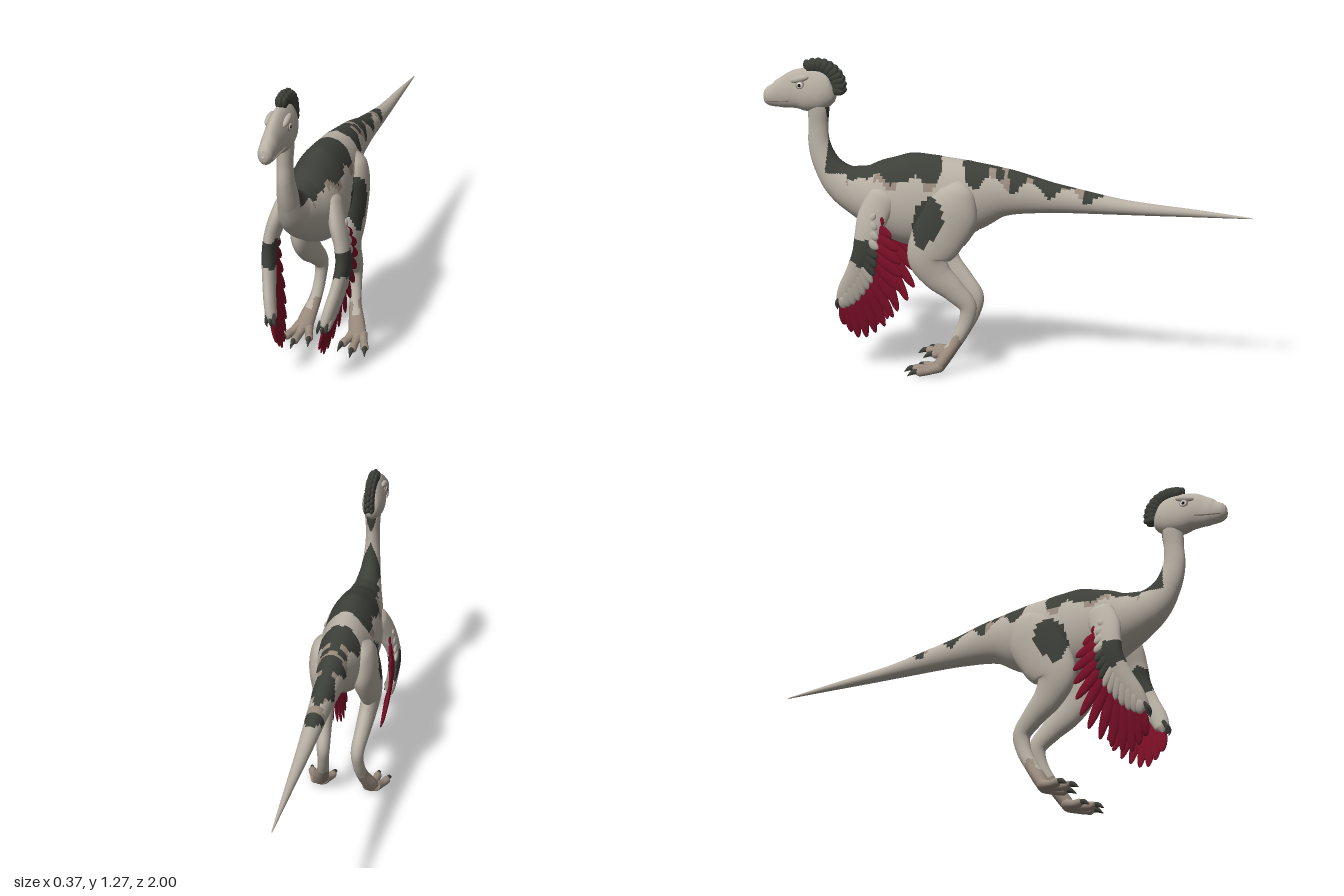
import * as THREE from 'three';

const mat = (name, color, double) => {
  const m = new THREE.MeshStandardMaterial({ color });
  m.name = name;
  if (double) m.side = THREE.DoubleSide;
  return m;
};

export function createModel() {
  const skin = mat('pale skin', 0xb9b1a5);
  const dark = mat('charcoal plumage', 0x3d3f39);
  const taupe = mat('taupe skin', 0x998a7d);
  const red = mat('crimson feather', 0x7c0f27);
  const white = mat('eye white', 0xe8e6e0);
  const black = mat('pupil black', 0x151515);
  const palette = [skin, dark, taupe];

  const model = new THREE.Group();
  model.name = 'featheredDinosaur';
  const add = (parent, name, geometry, material) => {
    const mesh = new THREE.Mesh(geometry, material);
    mesh.name = name;
    parent.add(mesh);
    return mesh;
  };
  const V = (x, y, z) => new THREE.Vector3(x, y, z);

  // Smooth loft through rows of [x, y, z, halfWidth, halfDepth, bottomHeaviness]; paint picks a palette index per quad.
  function loft(rows, steps, sides, paint = () => 0) {
    const path = new THREE.CatmullRomCurve3(rows.map(r => V(r[0], r[1], r[2])));
    const size = new THREE.CatmullRomCurve3(rows.map(r => V(r[3], r[4], r[5] || 0)));
    const pts = [], faces = [[], [], []];
    for (let i = 0; i <= steps; i++) {
      const c = path.getPoint(i / steps), t = path.getTangent(i / steps), s = size.getPoint(i / steps);
      const side = V(1, 0, 0).addScaledVector(t, -t.x).normalize();
      const up = t.clone().cross(side);
      for (let j = 0; j < sides; j++) {
        const a = j / sides * Math.PI * 2;
        pts.push(c.clone()
          .addScaledVector(side, Math.max(s.x, 0.001) * Math.cos(a) * (1 - s.z * Math.sin(a)))
          .addScaledVector(up, Math.max(s.y, 0.001) * Math.sin(a)));
      }
    }
    for (let i = 0; i < steps; i++) for (let j = 0; j < sides; j++) {
      const k = (j + 1) % sides;
      const a = i * sides + j, b = i * sides + k, c = a + sides, d = b + sides;
      const mid = pts[a].clone().add(pts[d]).multiplyScalar(0.5);
      faces[paint(mid)].push(a, b, c, b, d, c);
    }
    const g = new THREE.BufferGeometry().setFromPoints(pts);
    g.setIndex(faces.flat());
    let start = 0;
    faces.forEach((f, i) => { if (f.length) g.addGroup(start, f.length, i); start += f.length; });
    g.computeVertexNormals();
    return g;
  }

  // Plumage patches
  const wobble = p => 0.012 * Math.sin(38 * p.z + 9 * p.y) + 0.008 * Math.sin(83 * p.z + 50 * Math.abs(p.x));
  const flank = p => {
    const dy = (p.y - 0.64) / 0.105, dz = (p.z - 0.295 + 0.2 * (p.y - 0.64)) / (0.055 + wobble(p));
    return Math.abs(p.x) > 0.05 && dy * dy + dz * dz < 1;
  };
  const bodyPaint = p => {
    const w = wobble(p), z = p.z;
    if (flank(p)) return 1;
    if (z > 0.62 && p.y > 0.81) return z < 0.738 + w * 0.6 ? 1 : 0;
    if (z > 0.26 + w && z < 0.64) {
      const edge = 0.803 + w;
      return p.y > edge ? 1 : p.y > edge - 0.025 && Math.sin(z * 30) > 0.1 ? 2 : 0;
    }
    if (z < 0.14 + w && z > -0.46 + w) {
      const edge = 0.795 + 0.13 * z + 0.022 * Math.sin(z * 42) + w * 0.6;
      if (p.y < edge) return 0;
      const gap = Math.abs(z + 0.01 + w) < 0.022 || Math.abs(z + 0.3 + w) < 0.025;
      return gap || (Math.abs(p.x) > 0.02 && Math.sin(z * 42) > 0.8) ? 2 : 1;
    }
    return 0;
  };

  // Tail, trunk and neck in one sweep
  add(model, 'body', loft([
    [0, 0.687, -1, 0.002, 0.002], [0, 0.697, -0.8, 0.013, 0.014], [0, 0.71, -0.5, 0.029, 0.03],
    [0, 0.737, -0.2, 0.046, 0.062], [0, 0.752, 0, 0.066, 0.1], [0, 0.735, 0.12, 0.092, 0.143],
    [0, 0.712, 0.25, 0.11, 0.182, 0.08], [0, 0.708, 0.38, 0.117, 0.192, 0.1],
    [0, 0.718, 0.5, 0.108, 0.155, 0.1], [0, 0.732, 0.59, 0.085, 0.112, 0.05],
    [0, 0.768, 0.675, 0.06, 0.08], [0, 0.835, 0.735, 0.041, 0.057], [0, 0.92, 0.767, 0.032, 0.046],
    [0, 1.0, 0.77, 0.029, 0.041], [0, 1.08, 0.768, 0.033, 0.045], [0, 1.15, 0.775, 0.02, 0.03],
  ], 240, 64, bodyPaint), palette);

  // Head
  const head = new THREE.Group();
  head.name = 'head';
  model.add(head);
  add(head, 'skull', loft([
    [0, 1.155, 0.69, 0.002, 0.002], [0, 1.15, 0.71, 0.03, 0.055, 0.1], [0, 1.147, 0.75, 0.043, 0.083, 0.2],
    [0, 1.146, 0.8, 0.045, 0.09, 0.25], [0, 1.145, 0.85, 0.041, 0.083, 0.2], [0, 1.133, 0.9, 0.034, 0.067, 0.1],
    [0, 1.119, 0.945, 0.031, 0.05], [0, 1.113, 0.98, 0.027, 0.038], [0, 1.112, 0.995, 0.016, 0.024],
    [0, 1.112, 1, 0.002, 0.002],
  ], 60, 40), skin);
  for (const s of [1, -1]) {
    const brow = add(head, 'brow', new THREE.SphereGeometry(1, 20, 12), skin);
    brow.scale.set(0.012, 0.014, 0.04);
    brow.position.set(s * 0.033, 1.192, 0.835);
    brow.rotation.x = 0.25;
    const ring = add(head, 'eyeRim', new THREE.SphereGeometry(0.019, 20, 14), taupe);
    ring.scale.x = 0.4;
    ring.position.set(s * 0.0375, 1.168, 0.832);
    const eye = add(head, 'eye', new THREE.SphereGeometry(0.0135, 20, 14), white);
    eye.scale.x = 0.4;
    eye.position.set(s * 0.0415, 1.168, 0.832);
    const pupil = add(head, 'pupil', new THREE.SphereGeometry(0.007, 16, 12), black);
    pupil.scale.x = 0.4;
    pupil.position.set(s * 0.0455, 1.168, 0.833);
    const lip = new THREE.CatmullRomCurve3([V(s * 0.041, 1.105, 0.875), V(s * 0.0335, 1.1, 0.92),
      V(s * 0.0275, 1.097, 0.965), V(s * 0.014, 1.1, 0.991)]);
    add(head, 'mouthLine', new THREE.TubeGeometry(lip, 16, 0.003, 6), taupe);
  }

  // Flattened feather from root to tip; width lies in the y-z plane, thickness along x
  function feather(parent, name, root, tip, width, thick, material) {
    const dir = tip.clone().sub(root);
    const f = add(parent, name, new THREE.SphereGeometry(1, 12, 10), material);
    f.scale.set(thick, dir.length() / 2, width);
    f.position.copy(root).add(tip).multiplyScalar(0.5);
    const y = dir.normalize(), x = V(1, 0, 0).addScaledVector(y, -y.x).normalize();
    f.quaternion.setFromRotationMatrix(new THREE.Matrix4().makeBasis(x, y, x.clone().cross(y)));
  }

  // Crest: fan of rounded plumes over the crown, in three rows
  const crest = new THREE.Group();
  crest.name = 'crest';
  model.add(crest);
  for (const row of [-1, 0, 1]) for (let i = 0; i < 10; i++) {
    const a = 1.15 + (i + row * row * 0.4) * 0.235, r = row ? 0.94 : 1;
    const at = (ry, rz) => [1.163 + ry * Math.sin(a), 0.775 - rz * Math.cos(a) * -1];
    const [y0, z0] = at(0.055, 0.06), [y1, z1] = at(0.115 * r, 0.122 * r);
    feather(crest, 'crestPlume', V(row * 0.008, y0, z0), V(row * 0.013, y1, z1 - 0.008), 0.019, 0.012, dark);
  }

  // Limbs, mirrored
  const legPaint = p => flank(p) ? 1 : p.y < 0.13 + wobble(p) * 2 ? 2 : 0;
  const armPaint = p => p.y > 0.455 + wobble(p) && p.y < 0.56 + wobble(p) ? 1 : 0;
  for (const s of [1, -1]) {
    const label = s > 0 ? 'left' : 'right';
    const leg = new THREE.Group();
    leg.name = label + 'Leg';
    model.add(leg);
    add(leg, 'legLimb', loft([
      [s * 0.06, 0.82, 0.17, 0.002, 0.002], [s * 0.08, 0.76, 0.175, 0.045, 0.075], [s * 0.088, 0.67, 0.205, 0.055, 0.115],
      [s * 0.098, 0.57, 0.258, 0.048, 0.108], [s * 0.1, 0.49, 0.295, 0.042, 0.083], [s * 0.093, 0.42, 0.262, 0.037, 0.066],
      [s * 0.083, 0.35, 0.19, 0.032, 0.048], [s * 0.074, 0.285, 0.135, 0.028, 0.037], [s * 0.076, 0.22, 0.142, 0.024, 0.03],
      [s * 0.085, 0.14, 0.18, 0.025, 0.026], [s * 0.105, 0.07, 0.225, 0.034, 0.027], [s * 0.115, 0.03, 0.25, 0.036, 0.025],
      [s * 0.117, 0.01, 0.26, 0.004, 0.004],
    ], 110, 36, legPaint), palette);

    // Toes and claws
    for (const [x0, x1, z1] of [[0.095, 0.068, 0.325], [0.116, 0.123, 0.36], [0.135, 0.172, 0.335]]) {
      const dx = x1 - x0;
      add(leg, 'toe', loft([
        [s * x0, 0.045, 0.225, 0.004, 0.004], [s * x0, 0.038, 0.24, 0.02, 0.022],
        [s * (x0 + dx * 0.5), 0.024, (0.24 + z1) / 2, 0.016, 0.017],
        [s * (x0 + dx * 0.85), 0.021, z1 - 0.015, 0.017, 0.018], [s * x1, 0.016, z1, 0.003, 0.003],
      ], 24, 16), taupe);
      add(leg, 'toeClaw', loft([
        [s * (x0 + dx * 0.85), 0.024, z1 - 0.02, 0.011, 0.011], [s * x1, 0.023, z1 + 0.005, 0.009, 0.011],
        [s * (x1 + dx * 0.2), 0.006, z1 + 0.032, 0.001, 0.001],
      ], 12, 12), dark);
    }

    // Arm
    const arm = new THREE.Group();
    arm.name = label + 'Arm';
    model.add(arm);
    add(arm, 'armLimb', loft([
      [s * 0.07, 0.78, 0.46, 0.002, 0.002], [s * 0.092, 0.73, 0.48, 0.03, 0.06], [s * 0.118, 0.655, 0.515, 0.032, 0.062],
      [s * 0.14, 0.58, 0.535, 0.029, 0.052], [s * 0.148, 0.51, 0.548, 0.027, 0.047], [s * 0.138, 0.42, 0.583, 0.025, 0.045],
      [s * 0.12, 0.34, 0.63, 0.023, 0.038], [s * 0.107, 0.29, 0.65, 0.02, 0.03], [s * 0.1, 0.265, 0.655, 0.003, 0.003],
    ], 80, 28, armPaint), palette);
    for (const k of [-1, 0, 1])
      add(arm, 'fingerClaw', loft([
        [s * (0.107 + k * 0.012), 0.31, 0.66, 0.008, 0.009], [s * (0.104 + k * 0.016), 0.28, 0.675, 0.007, 0.008],
        [s * (0.1 + k * 0.018), 0.255, 0.672, 0.001, 0.001],
      ], 10, 10), dark);

    // Flight feathers, with short coverts over their roots on the outer side
    const roots = new THREE.CatmullRomCurve3([V(0.13, 0.66, 0.515), V(0.15, 0.52, 0.535), V(0.14, 0.42, 0.57), V(0.113, 0.3, 0.645)]);
    const tips = new THREE.CatmullRomCurve3([V(0.14, 0.63, 0.465), V(0.158, 0.52, 0.4), V(0.153, 0.4, 0.393),
      V(0.13, 0.26, 0.42), V(0.1, 0.165, 0.505), V(0.085, 0.125, 0.59), V(0.085, 0.18, 0.655)]);
    const count = 14;
    for (let i = 0; i < count; i++) {
      const t = i / (count - 1);
      const root = roots.getPoint(t), tip = tips.getPoint(t);
      root.x *= s;
      tip.x *= s;
      feather(arm, 'flightFeather', root, tip, 0.023, 0.008, red);
      const out = V(s * 0.014, 0, 0);
      const cover = root.clone().lerp(tip, 0.33).add(out);
      feather(arm, 'covert', root.clone().lerp(tip, -0.15).add(out), cover, 0.02, 0.01,
        root.y > 0.47 && root.y < 0.55 ? dark : skin);
    }
  }
  return model;
}
